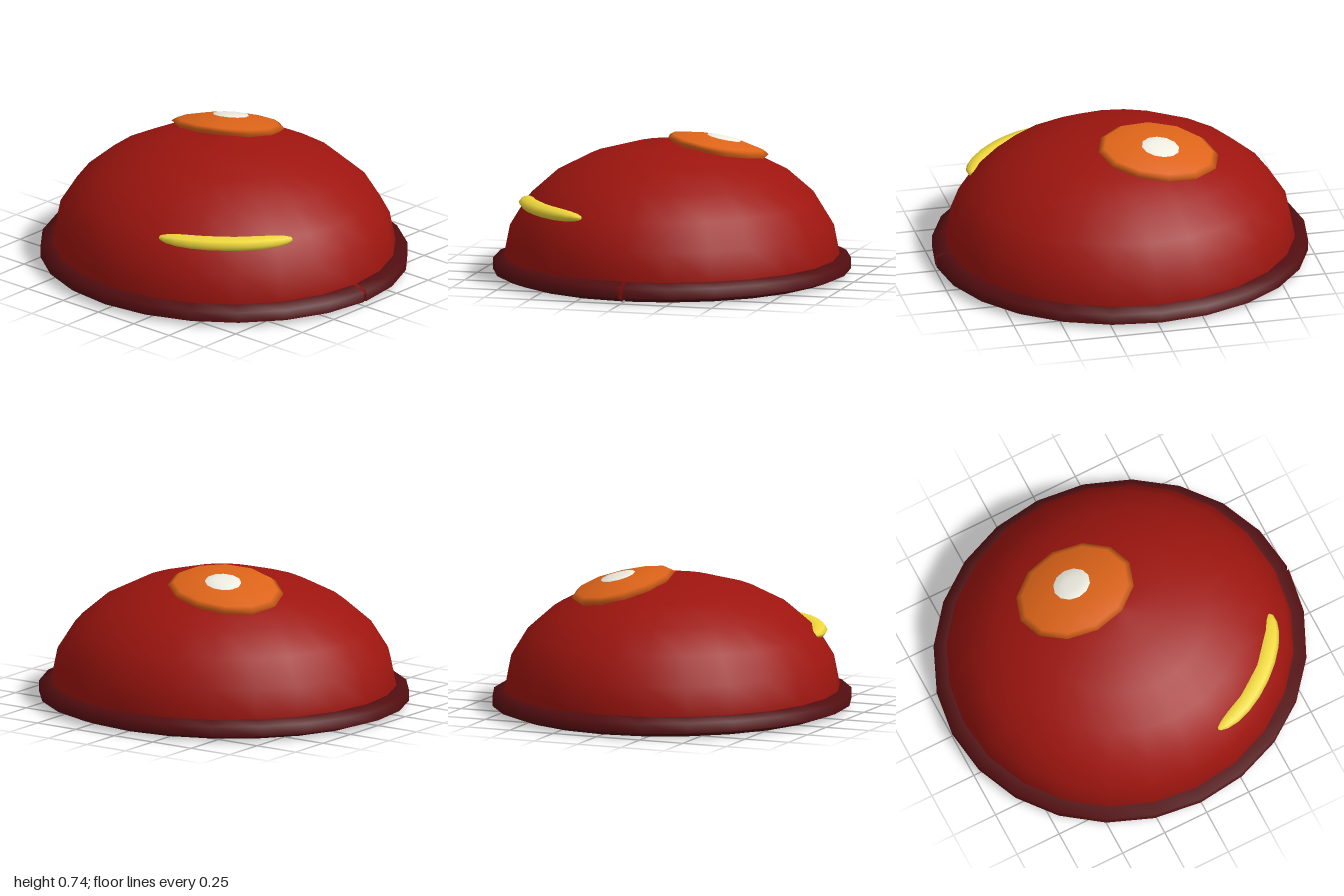
import * as THREE from 'three';
import { mergeVertices } from 'three/addons/utils/BufferGeometryUtils.js';

// Half-ellipsoid dome: radii, height of its widest ring, and the flat underside
const A = 0.93, B = 0.605, C = 0.885, BASE = 0.105, FLOOR = 0.008, FLOOR_R = 0.91;

const domeY = (x, z) => BASE + B * Math.sqrt(Math.max(0, 1 - (x / A) ** 2 - (z / C) ** 2));

function part(name, geometry, color, side = THREE.FrontSide) {
  const mesh = new THREE.Mesh(geometry, new THREE.MeshStandardMaterial({ color, side }));
  mesh.name = name;
  return mesh;
}

// Move every vertex by a rule, then weld the seams and smooth
function reshape(geometry, rule) {
  const pos = geometry.attributes.position;
  const v = new THREE.Vector3();
  for (let i = 0; i < pos.count; i++) {
    rule(v.fromBufferAttribute(pos, i));
    pos.setXYZ(i, v.x, v.y, v.z);
  }
  geometry.deleteAttribute('uv');
  geometry.deleteAttribute('normal');
  const welded = mergeVertices(geometry, 1e-4);
  welded.computeVertexNormals();
  return welded;
}

// Round patch laid over the dome; profile holds [radius fraction, lift]
function drapedPatch(cx, cz, rx, rz, sides, profile) {
  const points = profile.map(([r, y]) => new THREE.Vector2(r, y));
  return reshape(new THREE.LatheGeometry(points, sides), (v) => {
    v.x = cx + rx * v.x;
    v.z = cz + rz * v.z;
    v.y += domeY(v.x, v.z);
  });
}

export function createModel() {
  const model = new THREE.Group();
  model.name = 'domedCap';

  // Dome, tucking in slightly below its widest ring
  const profile = [new THREE.Vector2(FLOOR_R, FLOOR)];
  for (let i = 0; i <= 6; i++) {
    const a = i * Math.PI / 12;
    profile.push(new THREE.Vector2(i < 6 ? A * Math.cos(a) : 0, BASE + B * Math.sin(a)));
  }
  const dome = new THREE.LatheGeometry(profile, 24);
  dome.scale(1, 1, C / A);
  model.add(part('dome', dome, 0x9e150f));

  // Flat underside closing the dome
  const floor = new THREE.CircleGeometry(FLOOR_R, 24);
  floor.rotateX(Math.PI / 2);
  floor.scale(1, 1, C / A);
  floor.translate(0, FLOOR, 0);
  model.add(part('underside', floor, 0x9e150f));

  // Six-sided rim ring with a narrow split on the left side
  const section = [];
  for (let i = 0; i <= 6; i++) {
    const a = (-30 + i * 60) * Math.PI / 180;
    section.push(new THREE.Vector2(0.92 + 0.0924 * Math.cos(a), 0.055 + 0.055 * Math.sin(a)));
  }
  const gap = 0.022;
  const rim = new THREE.LatheGeometry(section, 24, Math.PI / 2 + gap / 2, Math.PI * 2 - gap);
  rim.scale(1, 1, 0.945);
  model.add(part('rim', rim, 0x520d10, THREE.DoubleSide));

  // Orange patch on the crown with a pale spot in its middle
  model.add(part('crownPatch', drapedPatch(-0.16, -0.21, 0.325, 0.265, 12,
    [[0.85, -0.03], [1, 0.02], [0.9, 0.033], [0.5, 0.038], [0, 0.04]]), 0xdd6419));
  model.add(part('crownSpot', drapedPatch(-0.165, -0.24, 0.1, 0.088, 12,
    [[1, 0.03], [1, 0.041], [0.5, 0.044], [0, 0.044]]), 0xf0eee2));

  // Yellow stripe: a blunt-ended ellipsoid bent around the dome
  const stripe = new THREE.SphereGeometry(1, 8, 12);
  stripe.rotateZ(Math.PI / 2);
  model.add(part('stripe', reshape(stripe, (v) => {
    const a = (49 - 27 * v.x) * Math.PI / 180;
    const blunt = Math.sqrt(1 + v.x * v.x);
    const r = 0.858 + 0.068 * v.z * blunt;
    v.set(A * r * Math.cos(a), 0.402 + 0.035 * v.y * blunt, C * r * Math.sin(a));
  }), 0xf0d83c));

  return model;
}
